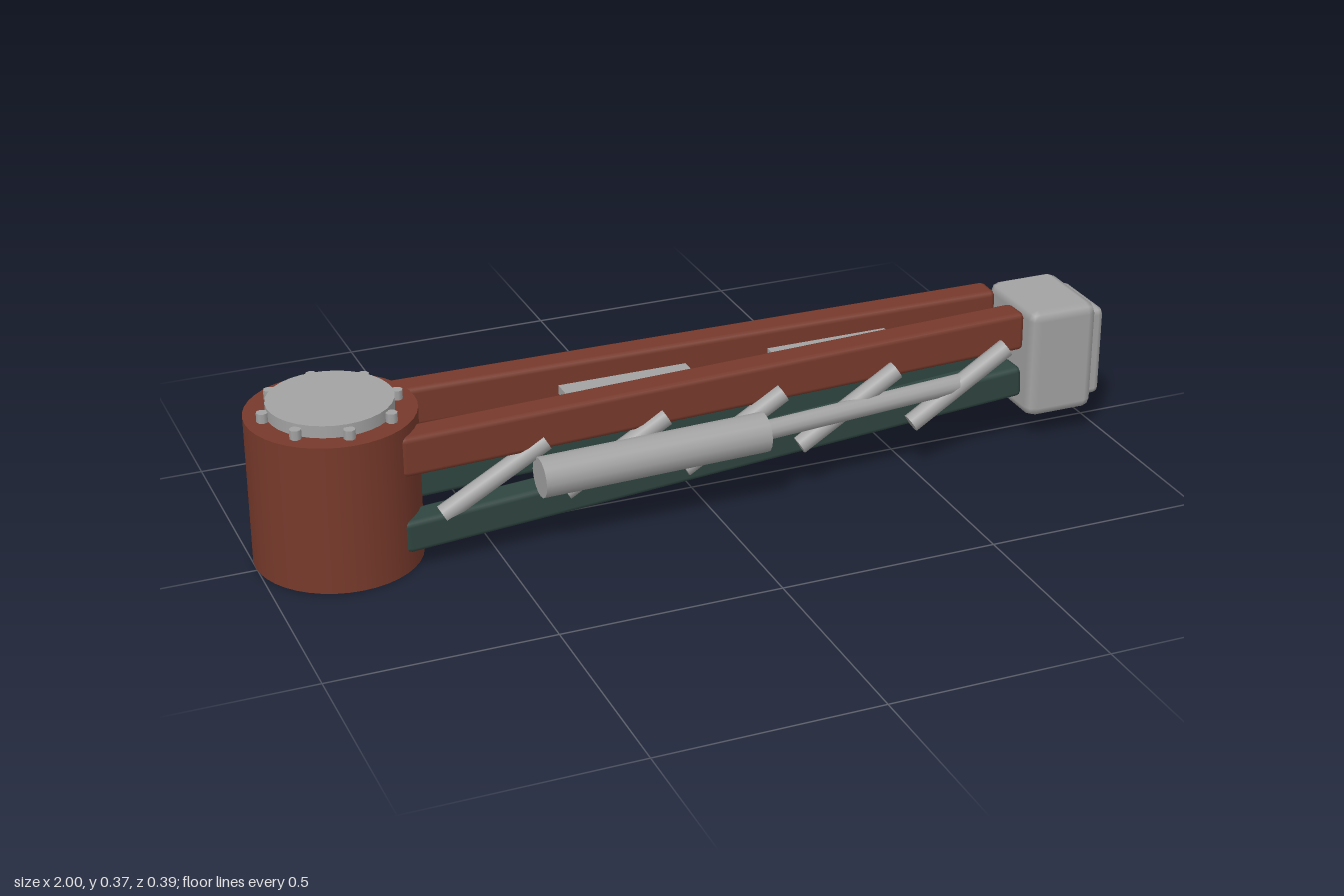
import * as THREE from 'three';
import { RoundedBoxGeometry } from 'three/addons/geometries/RoundedBoxGeometry.js';

const rust = new THREE.MeshStandardMaterial({ color: 0x77392b });
rust.name = 'rust red paint';
const green = new THREE.MeshStandardMaterial({ color: 0x2f4540 });
green.name = 'dark green paint';
const steel = new THREE.MeshStandardMaterial({ color: 0xa2a2a2 });
steel.name = 'grey steel';

const CZ = -0.012; // centre plane of the arm
const V = (x, y, z) => new THREE.Vector3(x, y, z);

function add(parent, name, geometry, material, x, y, z) {
  const mesh = new THREE.Mesh(geometry, material);
  mesh.name = name;
  mesh.position.set(x, y, z);
  parent.add(mesh);
  return mesh;
}

// Round bar running from a to b
function bar(parent, name, a, b, radius, sides, material) {
  const dir = b.clone().sub(a);
  const mid = a.clone().add(b).multiplyScalar(0.5);
  const mesh = add(parent, name, new THREE.CylinderGeometry(radius, radius, dir.length(), sides), material, mid.x, mid.y, mid.z);
  mesh.quaternion.setFromUnitVectors(V(0, 1, 0), dir.normalize());
  return mesh;
}

// Chamfered beam running from a to b
function beam(parent, name, a, b, height, width, material) {
  const dir = b.clone().sub(a);
  const mid = a.clone().add(b).multiplyScalar(0.5);
  const mesh = add(parent, name, new RoundedBoxGeometry(dir.length(), height, width, 1, 0.012), material, mid.x, mid.y, mid.z);
  mesh.quaternion.setFromUnitVectors(V(1, 0, 0), dir.normalize());
  return mesh;
}

export function createModel() {
  const model = new THREE.Group();
  model.name = 'mechanicalArm';

  // Pivot drum with bolted cap
  const pivot = new THREE.Group();
  pivot.name = 'pivot';
  pivot.position.set(-0.817, 0, CZ);
  model.add(pivot);
  add(pivot, 'drum', new THREE.CylinderGeometry(0.184, 0.184, 0.34, 40), rust, 0, 0.17, 0);
  add(pivot, 'cap', new THREE.CylinderGeometry(0.136, 0.136, 0.037, 32), steel, 0, 0.349, 0);
  for (let i = 0; i < 8; i++) {
    const a = (i * Math.PI) / 4;
    add(pivot, 'bolt', new THREE.CylinderGeometry(0.013, 0.013, 0.03, 8), steel, 0.146 * Math.cos(a), 0.346, 0.146 * Math.sin(a));
  }

  // Paired beams and diagonal braces on both sides
  for (const side of [1, -1]) {
    const near = CZ + side * 0.115;
    const far = CZ + side * 0.068;
    beam(model, 'upperBeam', V(-0.71, 0.27, near), V(0.783, 0.286, far), 0.092, 0.07, rust);
    beam(model, 'lowerBeam', V(-0.71, 0.081, near), V(0.783, 0.16, far), 0.074, 0.07, green);
    for (let i = 0; i < 5; i++) {
      const x = -0.62 + i * 0.277;
      const z = CZ + side * 0.128;
      bar(model, 'diagonalBrace', V(x, 0.113 + i * 0.002, z), V(x + 0.235, 0.244 + i * 0.006, z), 0.022, 8, steel);
    }
  }

  // Hydraulic ram along the front side
  bar(model, 'ramCylinder', V(-0.413, 0.178, 0.153), V(0.11, 0.188, 0.153), 0.045, 16, steel);
  bar(model, 'ramRod', V(0.08, 0.188, 0.152), V(0.62, 0.198, 0.112), 0.022, 12, steel);

  // Flat plates between the beams
  add(model, 'innerPlate', new THREE.BoxGeometry(0.3, 0.02, 0.045), steel, -0.15, 0.283, CZ);
  add(model, 'innerPlate', new THREE.BoxGeometry(0.29, 0.02, 0.05), steel, 0.345, 0.283, CZ);

  // Head block and its end pad
  add(model, 'headBlock', new RoundedBoxGeometry(0.17, 0.265, 0.221, 1, 0.024), steel, 0.886, 0.195, CZ);
  add(model, 'endPad', new RoundedBoxGeometry(0.07, 0.218, 0.182, 1, 0.016), steel, 0.965, 0.195, CZ);

  return model;
}
